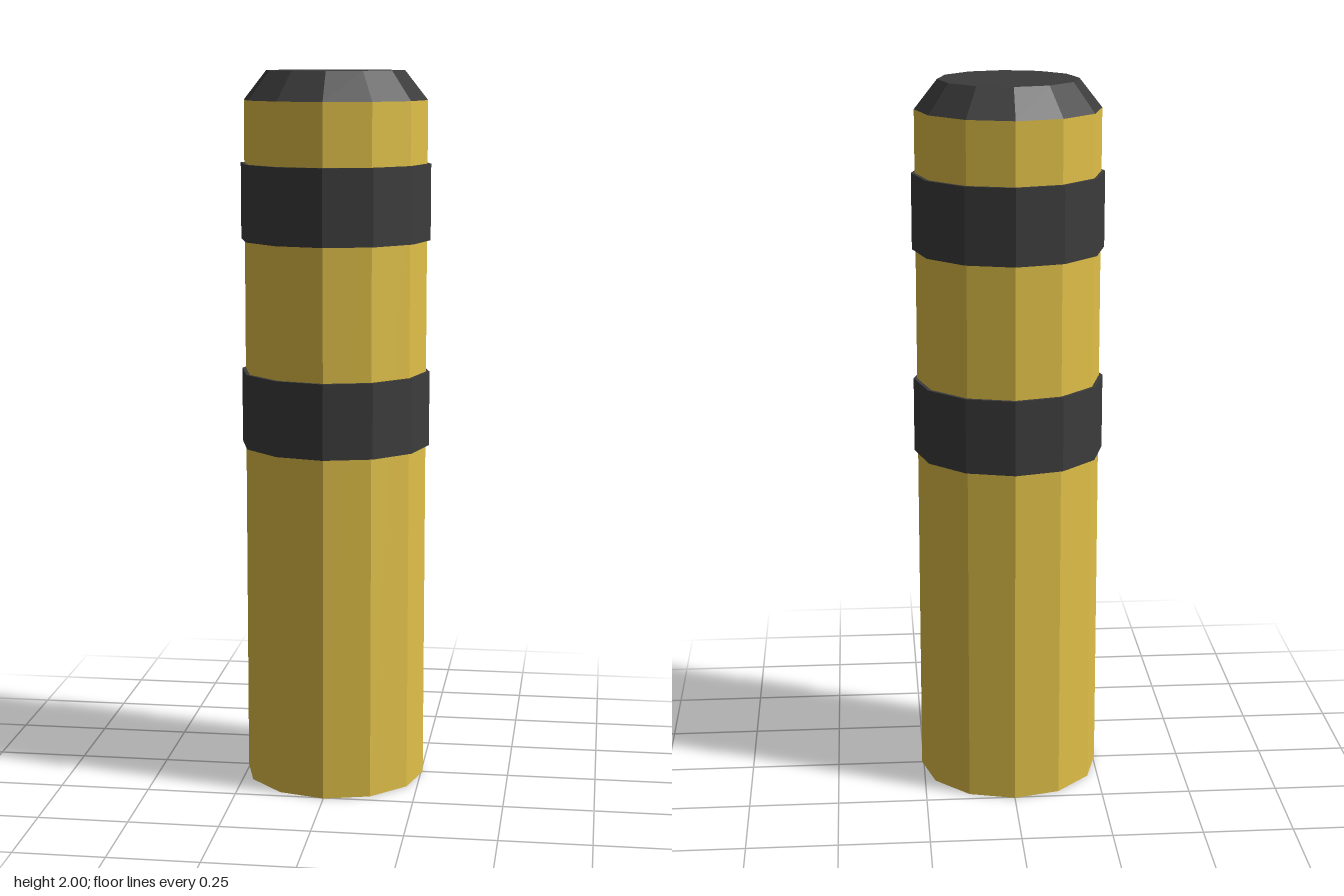
import * as THREE from 'three';

const SIDES = 12;

export function createModel() {
  const model = new THREE.Group();
  model.name = 'bollard';

  const yellow = new THREE.MeshStandardMaterial({ color: 0xe0c048 });
  yellow.name = 'yellow paint';
  const dark = new THREE.MeshStandardMaterial({ color: 0x3c3c3c });
  dark.name = 'dark rubber';
  yellow.flatShading = dark.flatShading = true;

  // Twelve-sided section between two heights
  function section(name, material, bottom, top, radiusBottom, radiusTop = radiusBottom) {
    const geometry = new THREE.CylinderGeometry(radiusTop, radiusBottom, top - bottom, SIDES);
    const mesh = new THREE.Mesh(geometry, material);
    mesh.name = name;
    mesh.position.y = (bottom + top) / 2;
    model.add(mesh);
  }

  section('post', yellow, 0, 1.92, 0.255);
  section('cap', dark, 1.92, 2, 0.255, 0.192);

  // Raised bands around the post
  section('lowerBand', dark, 0.963, 1.172, 0.265);
  section('upperBand', dark, 1.538, 1.748, 0.265);

  return model;
}
